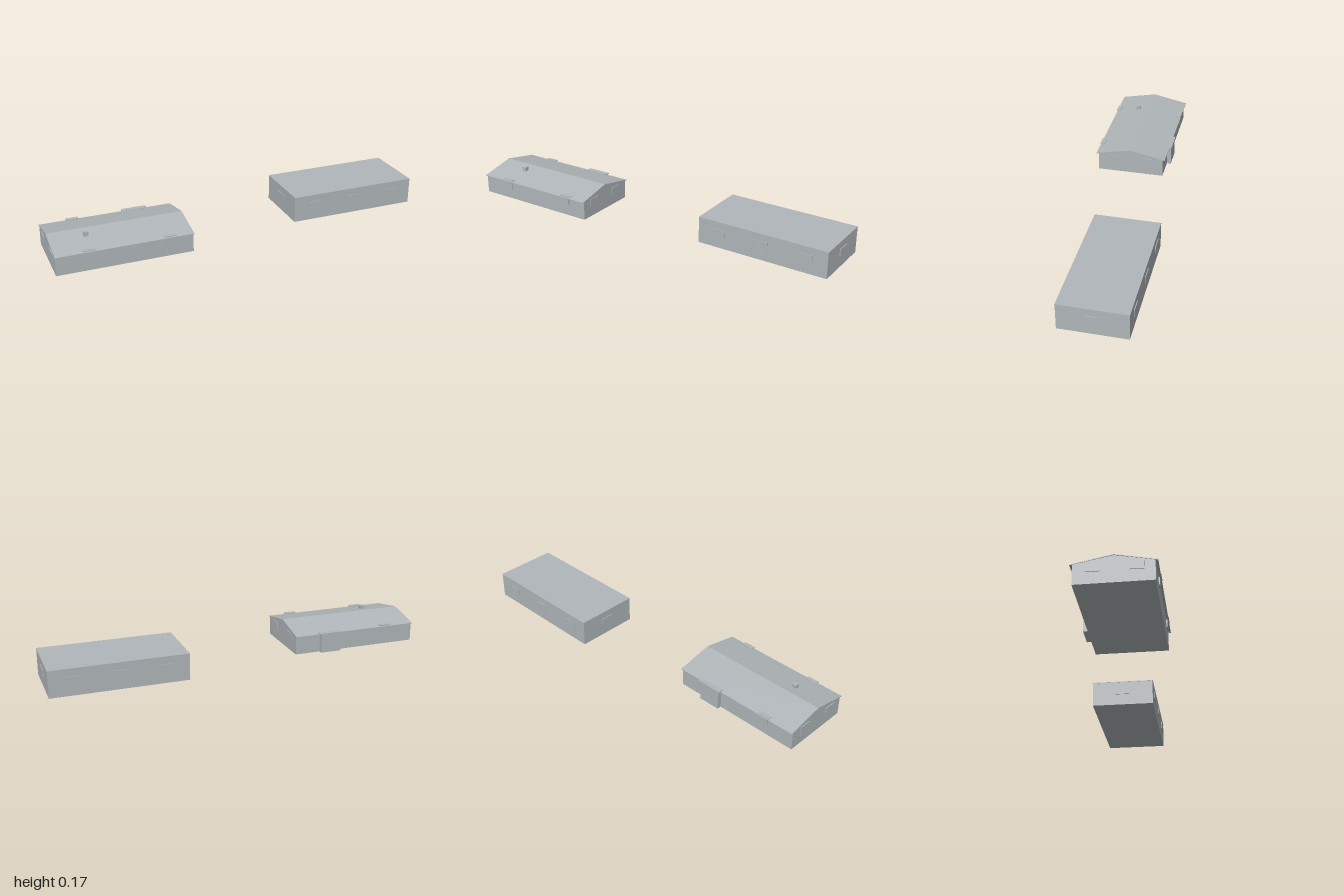
import * as THREE from 'three';

const grey = new THREE.MeshStandardMaterial({ color: 0xb0b6b9 });
grey.name = 'plain grey';

// Box given by its lower and upper limits on each axis
function block(parent, name, x0, x1, y0, y1, z0, z1) {
  const mesh = new THREE.Mesh(new THREE.BoxGeometry(x1 - x0, y1 - y0, z1 - z0), grey);
  mesh.position.set((x0 + x1) / 2, (y0 + y1) / 2, (z0 + z1) / 2);
  mesh.name = name;
  parent.add(mesh);
}

// Profile in z and y, swept along the long axis of a building
function sweep(parent, name, points, length) {
  const shape = new THREE.Shape(points.map(([z, y]) => new THREE.Vector2(-z, y)));
  const geometry = new THREE.ExtrudeGeometry(shape, { depth: length, bevelEnabled: false });
  geometry.translate(0, 0, -length / 2).rotateY(Math.PI / 2);
  const mesh = new THREE.Mesh(geometry, grey);
  mesh.name = name;
  parent.add(mesh);
}

function createHall() {
  const hall = new THREE.Group();
  hall.name = 'flatRoofHall';
  block(hall, 'hallWalls', -0.366, 0.366, 0, 0.142, -0.176, 0.176);
  block(hall, 'hallFlatRoof', -0.367, 0.367, 0.142, 0.146, -0.177, 0.177);
  // Three windows on each long side, one on each end
  for (const s of [-1, 1]) {
    for (const x of [-0.247, 0, 0.247]) {
      const z = s * 0.177;
      block(hall, 'hallSideWindow', x - 0.037, x + 0.037, 0.065, 0.105, z - 0.003, z + 0.003);
    }
    const x = s * 0.367;
    block(hall, 'hallEndWindow', x - 0.003, x + 0.003, 0.065, 0.105, -0.04, 0.036);
  }
  hall.position.set(0.36, 0, -0.602);
  return hall;
}

function createHouse() {
  const house = new THREE.Group();
  house.name = 'gabledHouse';
  sweep(house, 'houseWalls', [[-0.19, 0.015], [0.19, 0.015], [0.19, 0.12], [0, 0.157], [-0.19, 0.12]], 0.72);
  sweep(house, 'gabledRoof', [[-0.202, 0.117], [0, 0.158], [0.202, 0.117], [0.202, 0.121], [0, 0.162], [-0.202, 0.121]], 0.724);
  block(house, 'chimney', -0.184, -0.16, 0.14, 0.17, 0.053, 0.077);
  // Side windows rising through the eaves under small caps
  for (const [x, s] of [[-0.187, 1], [0.235, 1], [-0.187, -1]]) {
    const z = s * 0.191;
    block(house, 'sideWindow', x - 0.021, x + 0.021, 0.077, 0.128, z - 0.005, z + 0.005);
    block(house, 'windowCap', x - 0.033, x + 0.033, 0.127, 0.131, z - 0.012, z + 0.012);
  }
  // Two windows on each gable end
  for (const s of [-1, 1]) {
    for (const z of [-0.095, 0.105]) {
      const x = s * 0.361;
      block(house, 'gableWindow', x - 0.003, x + 0.003, 0.077, 0.118, z - 0.034, z + 0.034);
    }
  }
  // Back porch with a flat canopy
  block(house, 'porch', 0.095, 0.215, 0.015, 0.122, -0.213, -0.19);
  block(house, 'porchCanopy', 0.088, 0.225, 0.122, 0.127, -0.216, -0.185);
  house.position.set(-0.35, 0, 0.583);
  return house;
}

export function createModel() {
  const model = new THREE.Group();
  model.name = 'twoBuildings';
  for (const building of [createHall(), createHouse()]) {
    building.rotation.y = 0.936;
    model.add(building);
  }
  return model;
}
